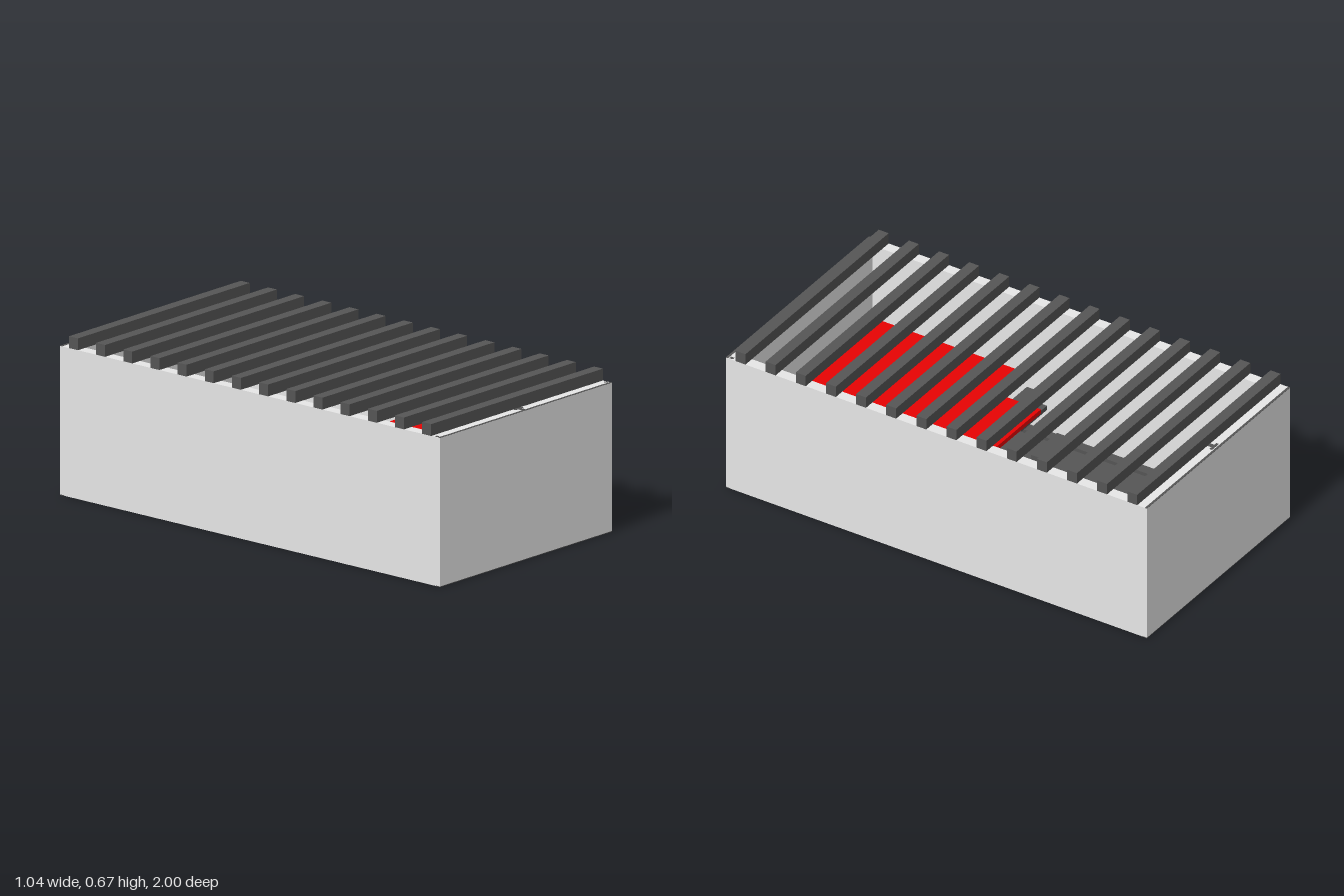
import * as THREE from 'three';

export function createModel() {
  const model = new THREE.Group();
  const mat = (name, color) => {
    const m = new THREE.MeshStandardMaterial({ color });
    m.name = name;
    return m;
  };
  const light = mat('light grey', 0xe6e6e6);
  const dark = mat('dark grey', 0x555555);
  const red = mat('red', 0xe70303);

  // Box given by its lower and upper limits on each axis
  function box(name, material, [x0, x1], [y0, y1], [z0, z1]) {
    const mesh = new THREE.Mesh(new THREE.BoxGeometry(x1 - x0, y1 - y0, z1 - z0), material);
    mesh.position.set((x0 + x1) / 2, (y0 + y1) / 2, (z0 + z1) / 2);
    mesh.name = name;
    model.add(mesh);
  }

  const W = 0.522, L = 1, H = 0.618, T = 0.047, BASE = 0.003, SILL = 0.022;

  // Light base plate with the dark ground floor on top
  box('basePlate', light, [-W, W], [0.001, BASE], [-L + SILL, L - SILL]);
  box('floor', dark, [-W + T, W - T], [BASE, 0.02], [-L + T, L - T]);

  // Side walls, with small dark post feet underneath
  for (const s of [-1, 1]) {
    const span = (a, b) => (s > 0 ? [a, b] : [-b, -a]);
    const side = s > 0 ? 'left' : 'right';
    box(side + 'Wall', light, span(W - T, W), [BASE, H], [-L, L]);
    for (const z of [-0.5, 0, 0.5]) {
      box(side + 'PostFoot', dark, span(W - 0.015, W - 0.001), [0, 0.002], [z - 0.015, z + 0.015]);
    }
  }

  // End walls with dark sill and edge strip
  const cap = [H, H + 0.001];
  for (const s of [-1, 1]) {
    const span = (a, b) => (s > 0 ? [a, b] : [-b, -a]);
    const end = s > 0 ? 'front' : 'back';
    box(end + 'Wall', light, [-W + T, W - T], [BASE, H], span(L - T, L));
    box(end + 'Sill', dark, [-W, W], [0, BASE], span(L - SILL, L));
    box(end + 'EdgeStrip', dark, [-W, W], cap, span(L - 0.01, L));
  }

  // Post ends showing in the tops of the end walls
  for (const z of [-0.985, 0.955]) {
    box('postFlange', dark, [-0.025, 0.025], cap, [z, z + 0.012]);
    box('postWeb', dark, [-0.01, 0.01], cap, [z + 0.012, z + 0.032]);
  }
  for (const x of [-0.512, 0.512]) {
    box('cornerPost', dark, [x - 0.006, x + 0.006], cap, [0.97, 0.985]);
  }

  // Upper floor with a notch for the stairs
  const shape = new THREE.Shape();
  [[-0.43, -0.19], [-0.24, -0.19], [-0.24, 0], [0.43, 0], [0.43, -0.953], [-0.43, -0.953]]
    .forEach(([x, y], i) => (i ? shape.lineTo(x, y) : shape.moveTo(x, y)));
  const loftGeo = new THREE.ExtrudeGeometry(shape, { depth: 0.02, bevelEnabled: false });
  loftGeo.rotateX(-Math.PI / 2);
  const loft = new THREE.Mesh(loftGeo, red);
  loft.position.y = 0.29;
  loft.name = 'upperFloor';
  model.add(loft);

  // Steep stairs up to the loft
  const steps = 4;
  for (let i = 0; i < steps; i++) {
    const top = 0.02 + ((i + 1) * 0.28) / (steps + 1);
    box('stairStep', dark, [-0.43, -0.24], [top - 0.02, top], [i * 0.0475, (i + 1) * 0.0475]);
  }

  // Low kerb along the right side of the ground floor
  box('floorKerb', dark, [-W + T, -0.43], [0.02, 0.035], [-L + T, L - T]);

  // Roof beams
  const beams = 14;
  for (let i = 0; i < beams; i++) {
    const z = -0.93 + (i * 1.86) / (beams - 1);
    box('roofBeam', dark, [-W, W], [H, 0.667], [z - T / 2, z + T / 2]);
  }
  return model;
}
